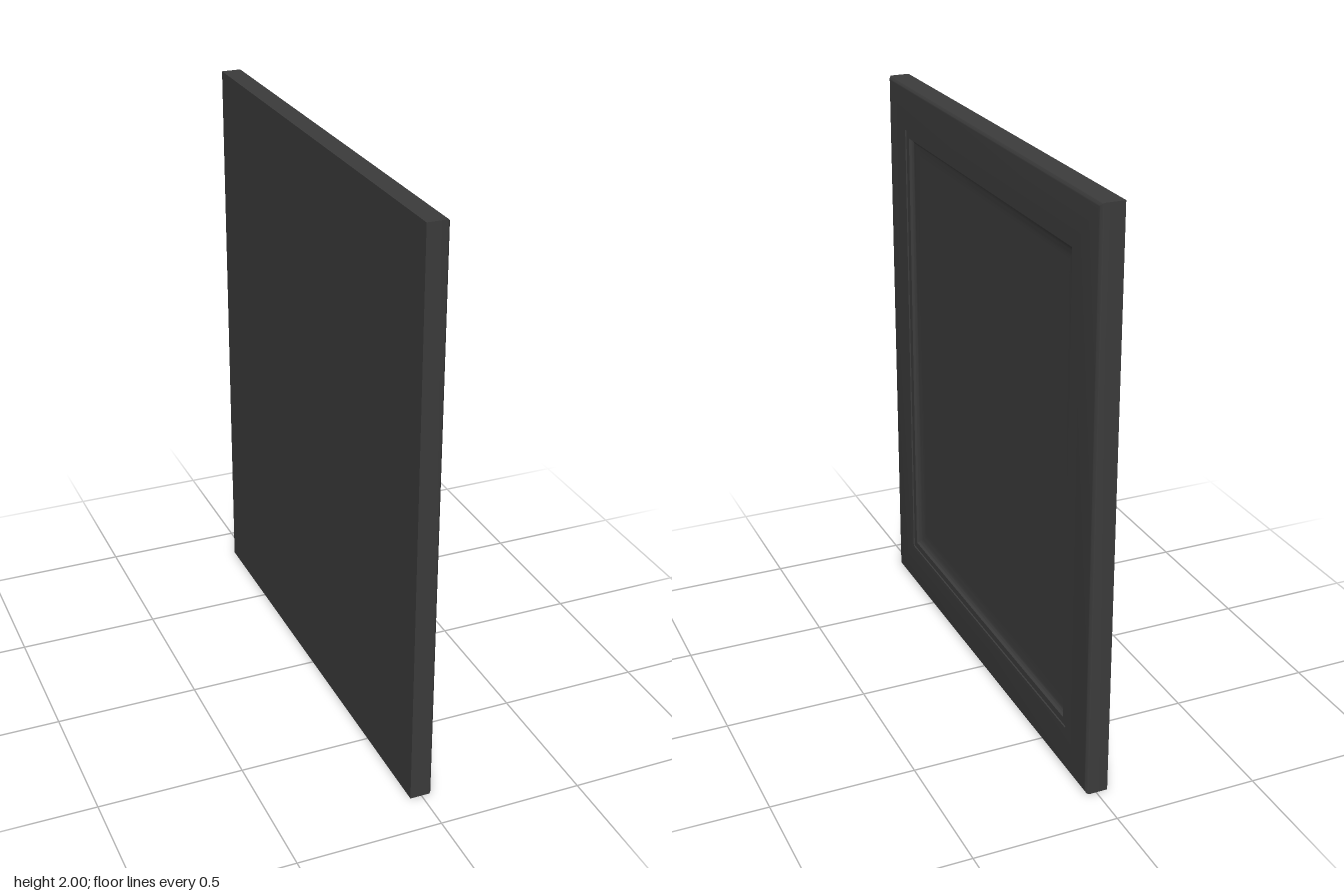
import * as THREE from 'three';
import { toCreasedNormals } from 'three/addons/utils/BufferGeometryUtils.js';

const HALF_W = 0.85, HEIGHT = 2;
const BACK = -0.04, FACE = 0.038, PANEL = 0.014;

// Rectangle of four corners, inset from the door's outline, at depth x
function ring([inset, x]) {
  const z = HALF_W - inset, lo = inset, hi = HEIGHT - inset;
  return [[x, lo, z], [x, lo, -z], [x, hi, -z], [x, hi, z]];
}

const quad = (a, b, c, d) => [a, b, c, a, c, d].flat();

// Mitred surface that carries an [inset, x] profile round all four sides
function mitred(profile) {
  const out = [];
  for (let i = 0; i < profile.length - 1; i++) {
    const a = ring(profile[i]), b = ring(profile[i + 1]);
    for (let k = 0; k < 4; k++) {
      const n = (k + 1) % 4;
      out.push(...quad(a[k], a[n], b[n], b[k]));
    }
  }
  return out;
}

// Quarter-ellipse profile points between two depths
function arc(inset0, x0, inset1, x1, steps, concave) {
  return Array.from({ length: steps + 1 }, (_, i) => {
    const t = (i / steps) * Math.PI / 2;
    const u = 1 - Math.cos(t), v = Math.sin(t);
    return [inset0 + (inset1 - inset0) * u, x0 + (x1 - x0) * (concave ? v : Math.sin(t))];
  });
}

export function createModel() {
  const group = new THREE.Group();
  group.name = 'cabinetDoor';
  const material = new THREE.MeshStandardMaterial({ color: 0x3c3c3c });

  function add(name, positions) {
    const geometry = new THREE.BufferGeometry();
    geometry.setAttribute('position', new THREE.Float32BufferAttribute(positions, 3));
    const mesh = new THREE.Mesh(toCreasedNormals(geometry, 0.5), material);
    mesh.name = name;
    group.add(mesh);
  }

  // Frame: square sides, rounded front edge, flat face
  add('frame', mitred([[0, BACK], ...arc(0, 0.026, 0.018, FACE, 6), [0.16, FACE]]));

  // Moulding: small step, narrow fillet, then a cove running out to the panel
  add('moulding', mitred([
    [0.16, FACE], [0.162, 0.034], [0.186, 0.034], [0.187, 0.03],
    ...arc(0.187, 0.03, 0.24, PANEL, 8, true).slice(1),
  ]));

  // Recessed centre panel
  add('centrePanel', quad(...ring([0.24, PANEL])));

  // Plain back
  add('back', quad(...ring([0, BACK]).reverse()));

  return group;
}
